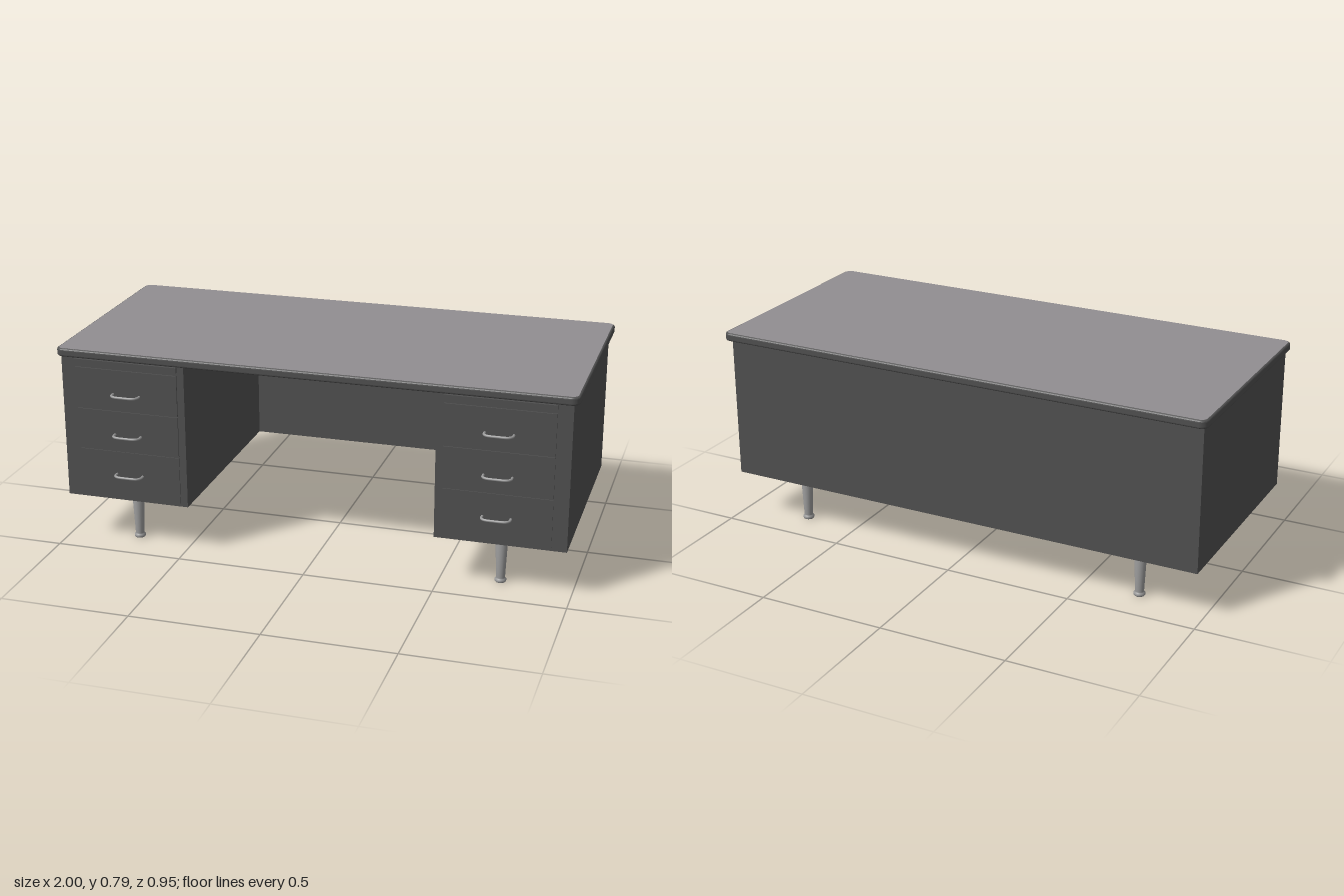
import * as THREE from 'three';

const steel = new THREE.MeshStandardMaterial({ color: 0x505050 });
steel.name = 'dark steel';
const laminate = new THREE.MeshStandardMaterial({ color: 0x918e91 });
laminate.name = 'grey laminate';
const metal = new THREE.MeshStandardMaterial({ color: 0x9a9a9a });
metal.name = 'brushed metal';

function add(parent, name, geometry, material, x = 0, y = 0, z = 0) {
  const mesh = new THREE.Mesh(geometry, material);
  mesh.name = name;
  mesh.position.set(x, y, z);
  parent.add(mesh);
  return mesh;
}

// Box given by its limits on each axis
function block(parent, name, material, [x0, x1], [y0, y1], [z0, z1]) {
  return add(parent, name, new THREE.BoxGeometry(x1 - x0, y1 - y0, z1 - z0), material,
    (x0 + x1) / 2, (y0 + y1) / 2, (z0 + z1) / 2);
}

function roundedRect(w, d, r) {
  const s = new THREE.Shape();
  const x = w / 2, y = d / 2;
  s.absarc(x - r, y - r, r, 0, Math.PI / 2);
  s.absarc(-x + r, y - r, r, Math.PI / 2, Math.PI);
  s.absarc(-x + r, -y + r, r, Math.PI, Math.PI * 1.5);
  s.absarc(x - r, -y + r, r, Math.PI * 1.5, Math.PI * 2);
  s.closePath();
  return s;
}

// Rounded horizontal slab whose underside rests on y = 0
function slab(w, d, r, h, bevel) {
  const geo = new THREE.ExtrudeGeometry(roundedRect(w - 2 * bevel, d - 2 * bevel, r), {
    depth: h - 2 * bevel, bevelEnabled: bevel > 0, bevelSize: bevel,
    bevelThickness: bevel, bevelSegments: 4, curveSegments: 8,
  });
  return geo.rotateX(-Math.PI / 2).translate(0, bevel, 0);
}

// Bowed drawer pull with two short posts
function createHandle() {
  const path = new THREE.CatmullRomCurve3([
    [-0.053, 0], [-0.052, 0.022], [-0.04, 0.034], [0, 0.037], [0.04, 0.034], [0.052, 0.022], [0.053, 0],
  ].map(([x, z]) => new THREE.Vector3(x, 0, z)));
  return new THREE.TubeGeometry(path, 32, 0.005, 8);
}

// Tapered leg with a ringed foot
function createLeg() {
  const profile = [[0, 0], [0.019, 0], [0.022, 0.004], [0.022, 0.011], [0.018, 0.014],
    [0.017, 0.018], [0.024, 0.184], [0, 0.184]];
  return new THREE.LatheGeometry(profile.map(([r, y]) => new THREE.Vector2(r, y)), 24);
}

export function createModel() {
  const desk = new THREE.Group();
  desk.name = 'desk';

  // Desktop: dark rounded edge with a lighter writing surface
  add(desk, 'desktopEdge', slab(2, 0.915, 0.022, 0.032, 0.008), steel, 0, 0.755, -0.0175);
  add(desk, 'writingSurface', slab(1.984, 0.899, 0.022, 0.001, 0), laminate, 0, 0.7868, -0.0175);

  // Full-width back panel
  block(desk, 'backPanel', steel, [-0.98, 0.98], [0.187, 0.755], [-0.44, -0.425]);

  const handleGeo = createHandle();
  const legGeo = createLeg();
  const drawers = [[0.557, 0.718, 0.433, 0.622], [0.392, 0.552, 0.432, 0.458], [0.2, 0.387, 0.431, 0.295]];

  for (const [side, sx] of [['left', 1], ['right', -1]]) {
    const pedestal = new THREE.Group();
    pedestal.name = side + 'Pedestal';
    pedestal.position.x = sx * 0.7325;
    desk.add(pedestal);
    block(pedestal, 'cabinet', steel, [-0.2475, 0.2475], [0.187, 0.755], [-0.425, 0.427]);

    const front = new THREE.Group();
    front.name = 'drawerFronts';
    front.position.x = -sx * 0.0145;
    pedestal.add(front);
    // Pull-out tray above the drawers
    block(front, 'pullOutTray', steel, [-0.207, 0.207], [0.732, 0.752], [0.42, 0.437]);
    for (const [y0, y1, z, handleY] of drawers) {
      block(front, 'drawer', steel, [-0.205, 0.205], [y0, y1], [0.42, z]);
      add(front, 'handle', handleGeo, metal, 0, handleY, 0.43);
    }

    // Legs with mounting plates
    for (const z of [0.343, -0.35]) {
      block(pedestal, 'legPlate', steel, [-0.055 - sx * 0.0075, 0.055 - sx * 0.0075], [0.182, 0.188], [z - 0.045, z + 0.045]);
      add(pedestal, 'leg', legGeo, metal, -sx * 0.0075, 0, z);
    }
  }
  return desk;
}
